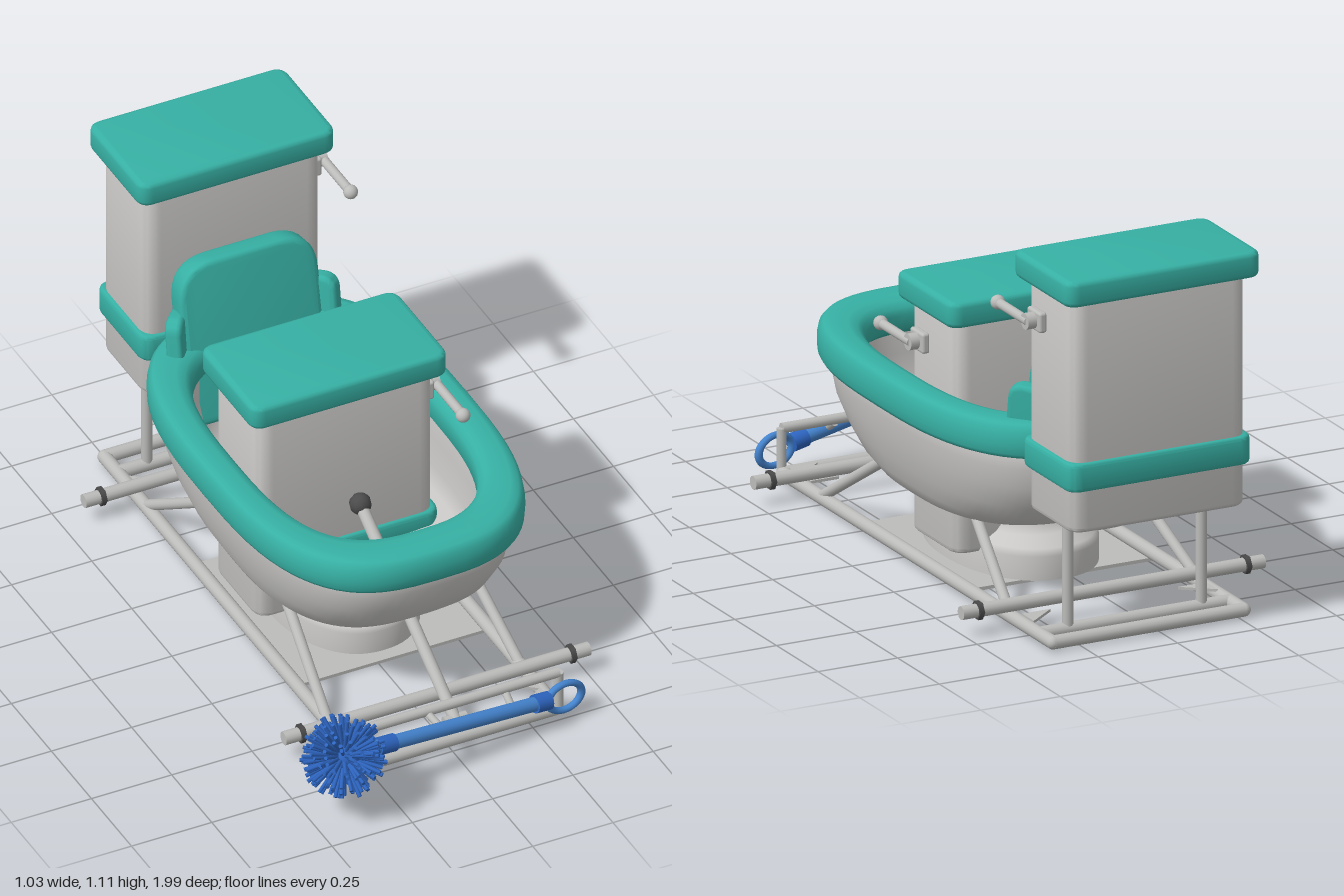
import * as THREE from 'three';
import { RoundedBoxGeometry } from 'three/addons/geometries/RoundedBoxGeometry.js';
import { mergeGeometries, toCreasedNormals } from 'three/addons/utils/BufferGeometryUtils.js';

const CX = 0.037; // centre line of the vehicle
const mat = (name, color) => Object.assign(new THREE.MeshStandardMaterial({ color }), { name });
const V = (x, y, z) => new THREE.Vector3(x, y, z);

// Cylinder between two points
function rod(a, b, r, sides = 14) {
  const d = b.clone().sub(a);
  const g = new THREE.CylinderGeometry(r, r, d.length(), sides);
  g.applyQuaternion(new THREE.Quaternion().setFromUnitVectors(V(0, 1, 0), d.normalize()));
  const m = a.clone().add(b).multiplyScalar(0.5);
  return g.translate(m.x, m.y, m.z);
}

// Skin over super-ellipse rings: [y, half width, front z, back z, exponent]
function loft(rings, n = 72) {
  const pos = [], idx = [];
  for (const [y, hx, zf, zb, e] of rings) {
    for (let i = 0; i < n; i++) {
      const t = (i / n) * Math.PI * 2, c = Math.cos(t), s = Math.sin(t);
      const p = (v) => Math.sign(v) * Math.abs(v) ** (2 / e);
      pos.push(CX + hx * p(c), y, (zf + zb) / 2 + ((zf - zb) / 2) * p(s));
    }
  }
  for (let r = 0; r < rings.length - 1; r++) {
    for (let i = 0; i < n; i++) {
      const a = r * n + i, b = r * n + ((i + 1) % n);
      idx.push(a, a + n, b, b, a + n, b + n);
    }
  }
  const g = new THREE.BufferGeometry();
  g.setAttribute('position', new THREE.Float32BufferAttribute(pos, 3));
  g.setIndex(idx);
  g.computeVertexNormals();
  return g;
}

// Rounded rectangle slab facing z: r rounds the top corners, q the bottom ones, b bevels the edges
function slab(w, h, depth, r, q = 0.02, b = 0.015) {
  const s = new THREE.Shape(), x = w / 2 - b, y = h / 2 - b;
  s.moveTo(-x + q, -y);
  s.lineTo(x - q, -y);
  s.quadraticCurveTo(x, -y, x, -y + q);
  s.lineTo(x, y - r);
  s.quadraticCurveTo(x, y, x - r, y);
  s.lineTo(-x + r, y);
  s.quadraticCurveTo(-x, y, -x, y - r);
  s.lineTo(-x, -y + q);
  s.quadraticCurveTo(-x, -y, -x + q, -y);
  const g = new THREE.ExtrudeGeometry(s, {
    depth: depth - 2 * b, bevelSize: b, bevelThickness: b, bevelSegments: 3, curveSegments: 8,
  });
  return toCreasedNormals(g.translate(0, 0, b - depth / 2), 0.7);
}
const block = (w, h, d, r, b, y) => slab(w, d, h, r, r, b).rotateX(-Math.PI / 2).translate(0, y, 0);

export function createModel() {
  const porcelain = mat('porcelain', 0xc9c8c6);
  porcelain.side = THREE.DoubleSide;
  const teal = mat('teal plastic', 0x37b0a4);
  const steel = mat('steel', 0xbcbcba);
  const dark = mat('dark rubber', 0x4c4c4c);
  const blue = mat('handle blue', 0x4484cf);
  const navy = mat('bristle blue', 0x2e66c2);

  const model = new THREE.Group();
  model.name = 'bathtubKart';
  const add = (name, geo, material, parent = model) => {
    const m = new THREE.Mesh(geo, material);
    m.name = name;
    parent.add(m);
    return m;
  };

  // Tub: pedestal, neck, bowl outside, then bowl inside
  add('tub', loft([
    [0.01, 0.21, 0.25, -0.39, 2.2], [0.08, 0.21, 0.25, -0.39, 2.2], [0.1, 0.2, 0.24, -0.38, 2.2],
    [0.125, 0.165, 0.17, -0.33, 2.2], [0.15, 0.15, 0.13, -0.3, 2.2], [0.175, 0.155, 0.14, -0.31, 2.2],
    [0.187, 0.22, 0.22, -0.37, 2.4], [0.198, 0.285, 0.3, -0.43, 2.6], [0.215, 0.312, 0.355, -0.49, 2.7],
    [0.25, 0.332, 0.44, -0.58, 2.8], [0.31, 0.355, 0.51, -0.65, 2.8], [0.38, 0.373, 0.552, -0.68, 2.9],
    [0.44, 0.382, 0.568, -0.69, 2.9], [0.52, 0.39, 0.575, -0.695, 2.9], [0.54, 0.34, 0.5, -0.6, 2.9],
    [0.52, 0.325, 0.48, -0.58, 2.9], [0.42, 0.32, 0.475, -0.57, 2.9], [0.33, 0.315, 0.455, -0.55, 2.8],
    [0.27, 0.3, 0.42, -0.51, 2.7], [0.235, 0.25, 0.34, -0.42, 2.5], [0.222, 0.001, -0.05, -0.06, 2],
  ]), porcelain);

  // Rim: closed rounded section swept around the tub
  const lerp = THREE.MathUtils.lerp;
  add('tubRim', loft([
    [0.3, 0.478], [0.07, 0.48], [0.015, 0.492], [0, 0.515], [0, 0.535], [0.04, 0.562], [0.13, 0.577],
    [0.3, 0.583], [0.65, 0.583], [0.84, 0.575], [0.96, 0.56], [1, 0.54], [1, 0.5], [0.85, 0.48], [0.3, 0.478],
  ].map(([f, y]) => [y, lerp(0.418, 0.307, f), lerp(0.605, 0.45, f), lerp(-0.71, -0.57, f), 2.9])), teal);

  // Two identical cisterns, measured from the top of the lid
  const cistern = (name, x, top, z) => {
    const g = new THREE.Group();
    g.name = name;
    g.position.set(x, top, z);
    model.add(g);
    add('cisternBody', block(0.553, 0.715, 0.282, 0.035, 0.015, -0.3975), porcelain, g);
    add('cisternLid', block(0.612, 0.076, 0.345, 0.025, 0.015, -0.038), teal, g);
    add('cisternBand', block(0.578, 0.085, 0.304, 0.03, 0.012, -0.588), teal, g);
    add('flushLever', mergeGeometries([
      new RoundedBoxGeometry(0.024, 0.06, 0.08, 3, 0.008).translate(0.286, -0.175, 0.055).toNonIndexed(),
      rod(V(0.28, -0.175, 0.055), V(0.325, -0.175, 0.055), 0.024).toNonIndexed(),
      rod(V(0.315, -0.175, 0.05), V(0.315, -0.175, 0.24), 0.014).toNonIndexed(),
      new THREE.SphereGeometry(0.021, 16, 12).translate(0.315, -0.175, 0.235).toNonIndexed(),
    ]), steel, g);
  };
  cistern('rearCistern', 0.037, 1.113, -0.827);
  cistern('frontCistern', 0.023, 0.825, -0.097);

  // Seat: pan with rounded edge, tilted back and side bolsters
  add('seatPan', slab(0.39, 0.36, 0.06, 0.08).rotateX(-Math.PI / 2).translate(CX, 0.3, -0.27), teal);
  add('seatBack', slab(0.43, 0.5, 0.075, 0.1).rotateX(-0.19).translate(CX, 0.577, -0.596), teal);
  for (const s of [-1, 1]) {
    add('seatBolster', slab(0.13, 0.34, 0.05, 0.03).rotateY(-s * 0.85).rotateX(-0.15)
      .translate(CX + s * 0.215, 0.515, -0.585), teal);
  }

  // Ladder frame
  const R = 0.02, L = CX - 0.3, RR = CX + 0.3, F = 0.725, B = -0.895, Y = 0.025;
  const bars = [
    [V(L, Y, F), V(L, Y, B)], [V(RR, Y, F), V(RR, Y, B)], [V(L, Y, F), V(RR, Y, F)], [V(L, Y, B), V(RR, Y, B)],
    [V(L, Y, -0.812), V(RR, Y, -0.812)],
  ].map(([a, b]) => rod(a, b, R));
  for (const x of [L, RR]) for (const z of [F, B]) bars.push(new THREE.SphereGeometry(R, 14, 10).translate(x, Y, z));
  add('frame', mergeGeometries(bars), steel);
  add('floorPlate', new THREE.BoxGeometry(0.6, 0.01, 0.64).translate(CX, 0.006, -0.03), steel);
  for (const s of [-1, 1]) {
    add('frontStrut', rod(V(CX + s * 0.3, Y, 0.5), V(CX + s * 0.27, 0.225, 0.18), 0.016), steel);
    add('rearStrut', rod(V(CX + s * 0.3, Y, -0.64), V(CX + s * 0.25, 0.225, -0.33), 0.016), steel);
    add('cisternLeg', rod(V(CX + s * 0.21, Y, -0.812), V(CX + s * 0.21, 0.38, -0.812), 0.016), steel);
    add('barPost', rod(V(CX + s * 0.3, Y, 0.735), V(CX + s * 0.3, 0.155, 0.735), 0.014), steel);
    // Triangular corner gussets: start z and direction along the rail
    for (const [z, d] of [[0.58, 1], [0.71, -1], [-0.69, -1]]) {
      const tri = new THREE.Shape([
        new THREE.Vector2(s * 0.29, z), new THREE.Vector2(s * 0.2, z), new THREE.Vector2(s * 0.29, z + d * 0.07)]);
      add('gusset', new THREE.ExtrudeGeometry(tri, { depth: 0.008, bevelEnabled: false })
        .rotateX(Math.PI / 2).translate(CX, 0.045, 0), steel);
    }
  }

  // Axles with dark hexagonal collars
  for (const z of [0.572, -0.676]) {
    add('axle', rod(V(CX - 0.475, 0.072, z), V(CX + 0.475, 0.072, z), 0.02), steel);
    for (const s of [-1, 1]) {
      add('axleCollar', rod(V(CX + s * 0.413, 0.072, z), V(CX + s * 0.428, 0.072, z), 0.028, 6), dark);
    }
  }

  // Steering lever running through the tub
  add('steeringRod', rod(V(CX, 0.045, 0.72), V(CX, 0.415, 0.105), 0.018), steel);
  add('steeringKnob', new THREE.SphereGeometry(0.032, 10, 8).translate(CX, 0.418, 0.1), dark);
  add('steeringJoint', rod(V(CX - 0.035, 0.062, 0.69), V(CX + 0.035, 0.062, 0.69), 0.015), steel);

  // Front bar with brush holders
  add('frontBar', rod(V(L, 0.155, 0.735), V(RR, 0.155, 0.735), 0.015), steel);
  for (const [x, y, z] of [[-0.07, 0.15, 0.82], [0.17, 0.113, 0.785]]) {
    add('brushHolder', rod(V(x, 0.145, 0.735), V(x, y, z), 0.011), steel);
  }

  // Cleaning brush
  const brush = new THREE.Group();
  brush.name = 'brush';
  model.add(brush);
  const head = V(-0.4, 0.197, 0.872), tip = V(0.29, 0.094, 0.768);
  const along = (t) => head.clone().lerp(tip, t);
  add('brushHandle', rod(along(0.02), along(0.97), 0.021, 16), blue, brush);
  add('brushCollar', rod(along(0.165), along(0.245), 0.026, 16), navy, brush);
  add('handleCollar', rod(along(0.93), along(1), 0.027, 16), navy, brush);
  const ring = add('hangingRing', new THREE.TorusGeometry(0.052, 0.011, 10, 32).scale(1.1, 0.85, 1), blue, brush);
  ring.position.set(0.344, 0.084, 0.76);
  ring.rotation.set(0, 0.15, -0.15);
  add('brushCore', new THREE.SphereGeometry(0.045, 16, 12).translate(head.x, head.y, head.z), navy, brush);
  const bristles = [], count = 220;
  for (let i = 0; i < count; i++) {
    const y = 1 - (2 * (i + 0.5)) / count, a = i * 2.39996 + 0.25 * Math.sin(i * 7.3), r = Math.sqrt(1 - y * y);
    const d = V(r * Math.cos(a), y, r * Math.sin(a));
    const len = 0.116 + 0.008 * Math.sin(i * i * 1.7);
    bristles.push(rod(head.clone().addScaledVector(d, 0.03), head.clone().addScaledVector(d, len), 0.0058, 6));
  }
  add('bristles', mergeGeometries(bristles), navy, brush);
  return model;
}
